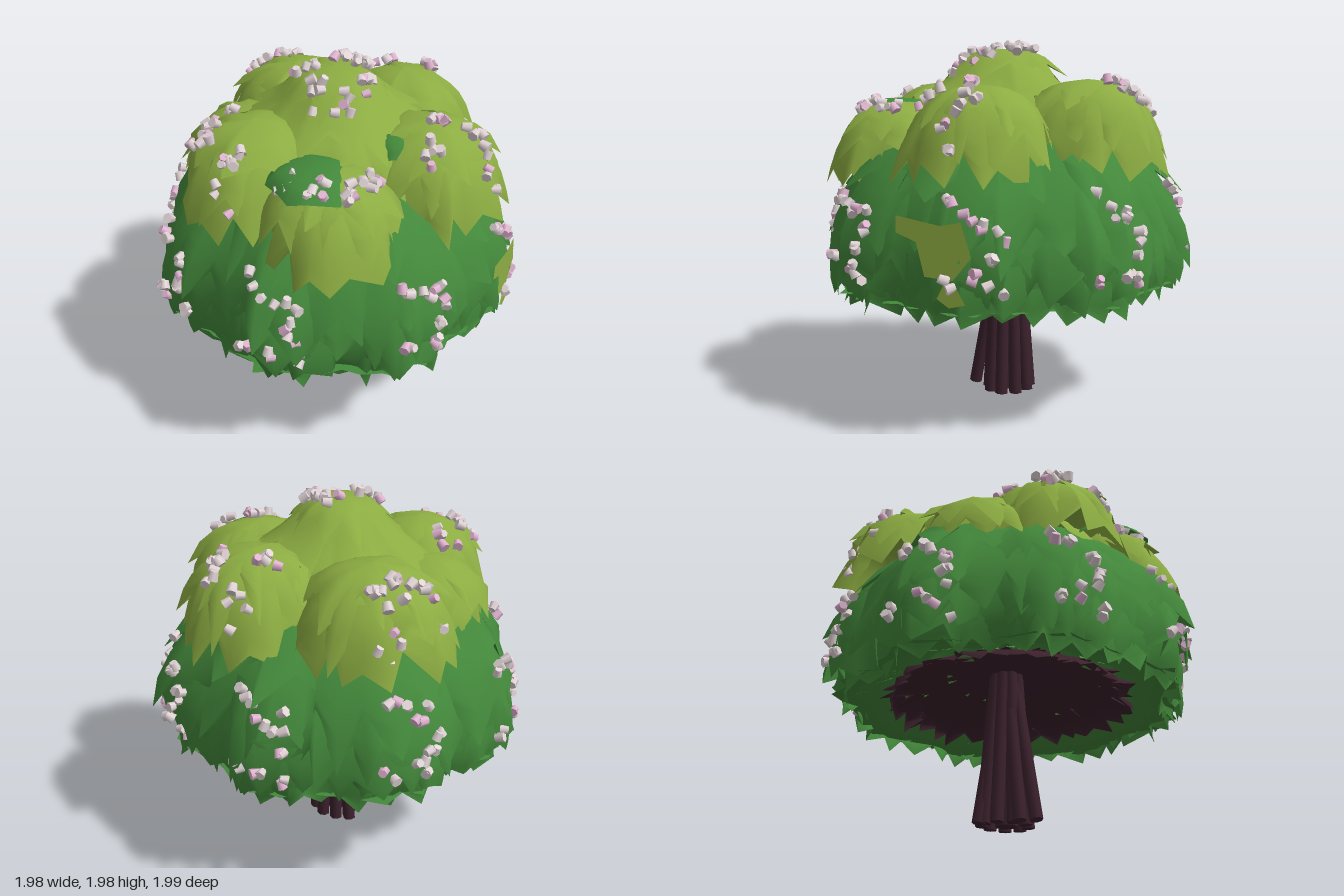
import * as THREE from 'three';
import { mergeGeometries } from 'three/addons/utils/BufferGeometryUtils.js';

const material = (name, color, side = THREE.FrontSide) => {
  const m = new THREE.MeshStandardMaterial({ color, side });
  m.name = name;
  return m;
};

function seeded(seed) {
  return () => {
    seed = (seed * 1664525 + 1013904223) % 4294967296;
    return seed / 4294967296;
  };
}

const spline = (pairs) => new THREE.SplineCurve(pairs.map(([r, y]) => new THREE.Vector2(r, y)));

// First point along a profile that passes a test
function findPoint(profile, test) {
  let t = 0;
  while (t < 1 && !test(profile.getPoint(t))) t += 0.01;
  return profile.getPoint(Math.min(t, 1));
}

// Eight soft lobes around the lower canopy
const lobed = (a) => 1 - 0.09 * Math.cos(4 * a) ** 2;
const round = () => 1;

// One ragged skirt: a ring that follows a profile and ends in pointed leaves
function skirt(profile, t0, t1, teeth, o, rnd) {
  const cols = teeth * 2, rows = 5, pos = [], index = [];
  const columns = Array.from({ length: cols }, (_, j) => ({
    a: ((j + (rnd() - 0.5) * 0.9) / cols) * Math.PI * 2,
    fold: (rnd() - 0.5) * o.fold + (j % 2 ? o.fold * 0.3 : 0),
    end: j % 2 ? o.tooth * (0.3 + rnd() * 0.7) : -o.tooth * rnd() * 0.6,
  }));
  for (let i = 0; i <= rows; i++) {
    const f = i / rows;
    for (const c of columns) {
      const t = t0 + (t1 - t0 + c.end * f * f) * f;
      const p = profile.getPoint(Math.min(t, 1));
      const over = Math.max(0, t - 1) * o.drop;
      const r = p.x * o.lobe(c.a) + (o.flare + c.fold) * f * Math.min(1, p.x * 8);
      pos.push(Math.sin(c.a) * r, p.y - over, Math.cos(c.a) * r);
    }
  }
  for (let i = 0; i < rows; i++) {
    for (let j = 0; j < cols; j++) {
      const k = (j + 1) % cols;
      const tl = i * cols + j, tr = i * cols + k, bl = tl + cols, br = tr + cols;
      index.push(tl, bl, tr, bl, br, tr);
    }
  }
  const g = new THREE.BufferGeometry();
  g.setAttribute('position', new THREE.Float32BufferAttribute(pos, 3));
  g.setIndex(index);
  g.computeVertexNormals();
  return g;
}

// Overlapping skirts stacked down one profile
function foliage(name, mat, profile, tiers, seed, options = {}) {
  const o = { flare: 0.03, fold: 0.08, tooth: 0.15, drop: 0.5, lobe: round, ...options };
  const rnd = seeded(seed);
  const parts = tiers.map(([t0, t1, teeth]) => skirt(profile, t0, t1, teeth, o, rnd));
  const mesh = new THREE.Mesh(mergeGeometries(parts), mat);
  mesh.name = name;
  return mesh;
}

const domeProfile = (R, top, depth) => spline([
  [0, top], [R * 0.4, top - depth * 0.06], [R * 0.71, top - depth * 0.26],
  [R * 0.89, top - depth * 0.58], [R, top - depth],
]);

export function createModel() {
  const tree = new THREE.Group();
  tree.name = 'tree';
  const bark = material('bark', 0x3b212c);
  const shade = material('inner shade', 0x3b212c, THREE.DoubleSide);
  const dark = material('dark leaves', 0x43883b, THREE.DoubleSide);
  const light = material('light leaves', 0x8cac42, THREE.DoubleSide);
  const pale = material('pale blossom', 0xe4d6d8);
  const pink = material('pink blossom', 0xe4b7d4);
  const rnd = seeded(77);

  // Trunk: a bundle of leaning stems
  const trunk = new THREE.Group();
  trunk.name = 'trunk';
  const up = new THREE.Vector3(0, 1, 0);
  const stem = (x0, z0, x1, z1, r) => {
    const a = new THREE.Vector3(x0, 0.015, z0), b = new THREE.Vector3(x1, 0.9, z1);
    const d = b.clone().sub(a);
    const m = new THREE.Mesh(new THREE.CylinderGeometry(r * 0.9, r, d.length(), 7), bark);
    m.position.copy(a).add(b).multiplyScalar(0.5);
    m.quaternion.setFromUnitVectors(up, d.normalize());
    m.name = 'stem';
    trunk.add(m);
  };
  for (let i = 0; i < 9; i++) {
    const a = (i / 9) * Math.PI * 2 + 0.3;
    stem(0.04 + Math.sin(a) * 0.11, Math.cos(a) * 0.13, 0.03 + Math.sin(a) * 0.06, Math.cos(a) * 0.06, 0.036);
  }
  stem(-0.18, 0.03, 0.0, 0.02, 0.036);
  stem(-0.12, -0.03, 0.0, -0.02, 0.036);
  stem(0.06, -0.155, 0.04, -0.02, 0.036);
  stem(0.03, 0.0, 0.03, 0.0, 0.06);
  tree.add(trunk);

  // Lower canopy
  const shell = spline([
    [0, 1.62], [0.34, 1.59], [0.6, 1.49], [0.77, 1.34], [0.88, 1.18],
    [0.945, 1.0], [0.945, 0.82], [0.9, 0.7], [0.85, 0.62],
  ]);
  tree.add(foliage('lowerCanopy', dark, shell,
    [[0, 0.42, 20], [0.28, 0.6, 24], [0.46, 0.7, 28], [0.58, 0.79, 32], [0.68, 0.88, 34], [0.76, 0.95, 36]],
    5, { lobe: lobed, tooth: 0.13, fold: 0.11, flare: 0.03 }));

  // Underside: green rim and a dark leafy hollow
  const rim = spline([[0.62, 0.77], [0.72, 0.72], [0.82, 0.69], [0.95, 0.67]]);
  tree.add(foliage('underRim', dark, rim, [[0, 0.4, 26], [0.25, 0.65, 30], [0.5, 1, 34]], 9,
    { lobe: lobed, flare: -0.01, fold: 0.05, tooth: 0.22, drop: 0 }));
  const hollow = spline([[0, 0.86], [0.3, 0.84], [0.5, 0.78], [0.61, 0.73], [0.69, 0.68]]);
  tree.add(foliage('innerHollow', shade, hollow,
    [[0, 0.4, 18], [0.3, 0.6, 24], [0.5, 0.8, 28], [0.68, 0.95, 32]], 13, { flare: -0.03, fold: 0.1 }));

  // Blossoms are gathered per colour and merged at the end
  const petals = { pale: [], pink: [] };
  const blossom = (x, y, z) => {
    const s = 0.042 + rnd() * 0.008;
    const g = new THREE.CylinderGeometry(s * 0.45, s * 0.6, s, 6);
    g.rotateX(rnd() * 3).rotateY(rnd() * 3).rotateZ(rnd() * 3).translate(x, y, z);
    petals[rnd() < 0.28 ? 'pink' : 'pale'].push(g);
  };
  // A few blossoms around each [x, z] spot on a dome
  const scatter = (profile, cx, cz, spots) => spots.forEach(([sx, sz]) => {
    for (let k = 0; k < 5; k++) {
      const x = sx + (rnd() - 0.5) * 0.11, z = sz + (rnd() - 0.5) * 0.11;
      const d = Math.hypot(x - cx, z - cz);
      const p = findPoint(profile, (q) => q.x >= d - 0.03);
      blossom(x, p.y + 0.02, z);
    }
  });

  // Upper domes: x, z, radius, top, depth, blossom spots
  const domes = [
    [0.19, 0.48, 0.37, 1.74, 0.43, [[0, 0.66], [0.17, 0.52], [0.31, 0.7], [0.24, 0.81]]],
    [0.54, 0.01, 0.36, 1.77, 0.44, [[0.72, 0.06], [0.8, -0.2], [0.6, -0.19], [0.78, 0]]],
    [0.22, -0.5, 0.38, 1.76, 0.43, [[0.14, -0.8], [0.25, -0.73], [0.4, -0.8], [0.34, -0.66]]],
    [-0.47, -0.1, 0.36, 1.77, 0.44, [[-0.72, 0], [-0.67, -0.2], [-0.44, -0.34], [-0.77, 0.03], [-0.66, -0.28]]],
    [-0.42, 0.39, 0.34, 1.66, 0.4, [[-0.6, 0.31], [-0.59, 0.46], [-0.5, 0.58], [-0.34, 0.58]]],
    [-0.24, -0.38, 0.34, 1.66, 0.34, []],
  ];
  domes.forEach(([x, z, R, top, depth, spots], n) => {
    const profile = domeProfile(R, top, depth);
    const dome = foliage('upperDome', light, profile,
      [[0, 0.5, 9], [0.26, 0.74, 11], [0.5, 0.95, 13]], 31 + n * 7, { tooth: 0.25, fold: 0.1, flare: 0.015 });
    dome.position.set(x, 0, z);
    tree.add(dome);
    scatter(profile, x, z, spots);
  });

  // Crown
  const crown = spline([[0, 1.94], [0.14, 1.92], [0.22, 1.84], [0.31, 1.74], [0.47, 1.62], [0.58, 1.43]]);
  tree.add(foliage('crown', light, crown, [[0, 0.42, 10], [0.3, 0.68, 14], [0.55, 0.95, 18]], 71, { tooth: 0.16 }));
  scatter(crown, 0, 0, [[-0.13, -0.09], [-0.21, 0.06], [0.1, -0.03], [0.13, 0.1], [-0.16, 0.22], [0.02, 0.24]]);

  // Dark tufts between the upper domes
  for (const [x, z, R, top] of [[-0.48, 0.33, 0.2, 1.675], [0.0, 0.42, 0.11, 1.7]]) {
    const tuft = foliage('darkTuft', dark, domeProfile(R, top, 0.09), [[0, 0.9, 7]], 91, { fold: 0.05 });
    tuft.position.set(x, 0, z);
    tree.add(tuft);
  }

  // Light leaves showing low on the front, as flat plates
  const patches = [
    [[-0.2, 1.14], [0.02, 1.1], [0.12, 1.12], [0.17, 0.96], [0.08, 0.85], [-0.06, 0.86], [-0.1, 1.02], [-0.2, 1.06]],
    [[0.0, 0.76], [0.04, 0.84], [0.1, 0.81], [0.14, 0.74], [0.06, 0.72]],
  ];
  for (const outline of patches) {
    const shape = new THREE.Shape(outline.map(([x, y]) => new THREE.Vector2(x, y)));
    const patch = new THREE.Mesh(new THREE.ShapeGeometry(shape), light);
    patch.name = 'lightPatch';
    patch.rotation.y = 0.3;
    patch.position.set(Math.sin(0.3) * 0.995, 0, Math.cos(0.3) * 0.995);
    tree.add(patch);
  }

  // Blossom clusters in an arc on each lower lobe: sideways offset, height
  const arc = [[-0.04, 1.2], [0.06, 1.15], [0.15, 1.12], [0.19, 1.04], [0.17, 0.96], [0.1, 0.87], [0.18, 0.8], [-0.06, 0.85]];
  for (let n = 0; n < 8; n++) {
    for (const [side, height] of arc) {
      for (let k = 0; k < 2; k++) {
        const a = ((n + 0.5) * Math.PI) / 4 + side + (rnd() - 0.5) * 0.1;
        const y = height + (rnd() - 0.5) * 0.08;
        const r = findPoint(shell, (q) => q.y <= y).x * lobed(a) + 0.055;
        blossom(Math.sin(a) * r, y, Math.cos(a) * r);
      }
    }
  }
  for (const [key, mat] of [['pale', pale], ['pink', pink]]) {
    const mesh = new THREE.Mesh(mergeGeometries(petals[key]), mat);
    mesh.name = key + 'Blossoms';
    tree.add(mesh);
  }
  return tree;
}
